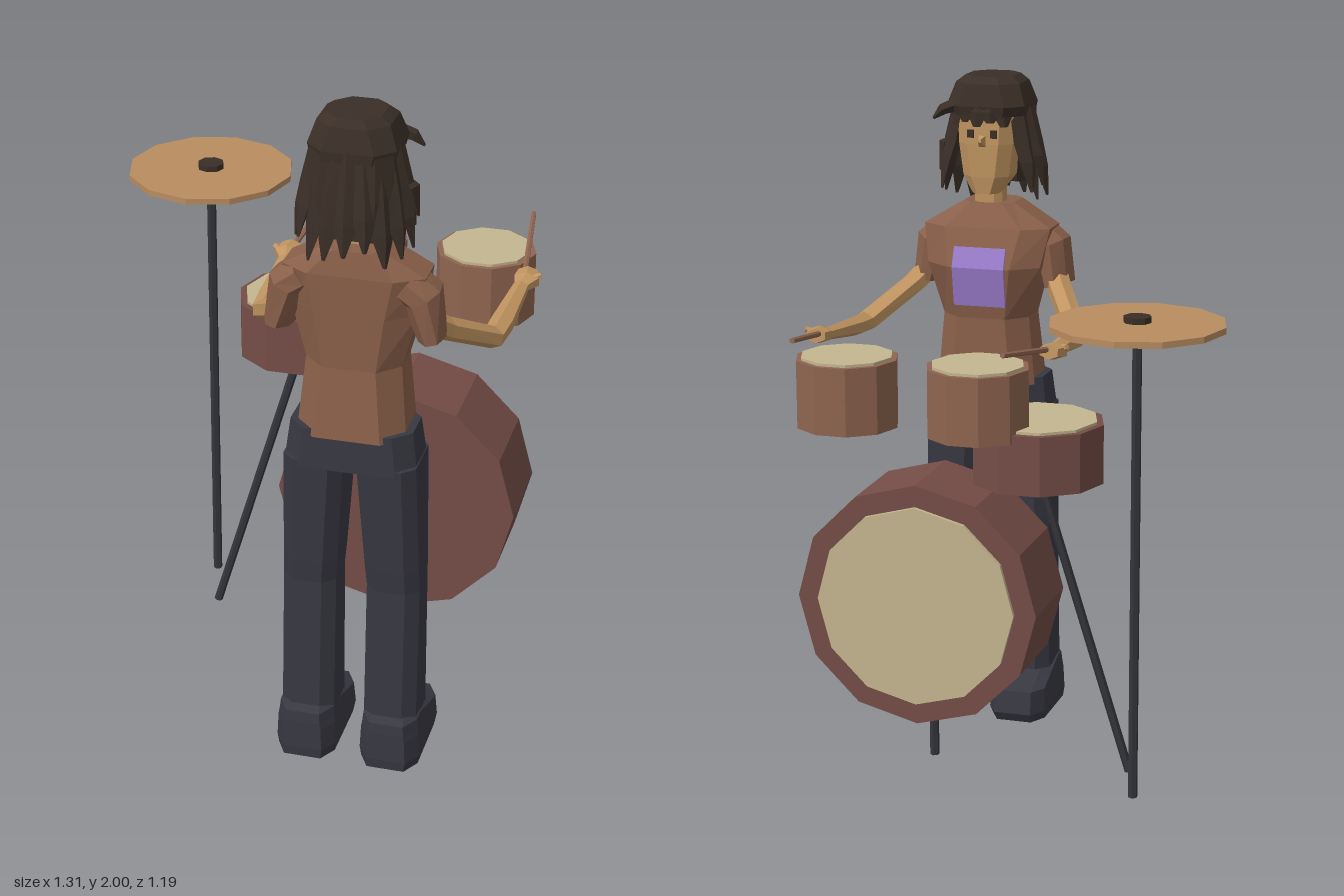
import * as THREE from 'three';

const mat = (name, color, extra = {}) => {
  const m = new THREE.MeshStandardMaterial({ color, flatShading: true, ...extra });
  m.name = name;
  return m;
};
const V = (x, y, z) => new THREE.Vector3(x, y, z);
const CX = 0.25; // the drummer and bass drum share this centre line

// Skin a stack of equal-sized rings and close both ends
function loft(rings) {
  const pos = [], n = rings[0].length;
  const tri = (...p) => p.forEach(v => pos.push(v.x, v.y, v.z));
  const mid = r => r.reduce((s, p) => s.add(p), V(0, 0, 0)).divideScalar(n);
  const last = rings[rings.length - 1], c0 = mid(rings[0]), c1 = mid(last);
  for (let i = 0; i < n; i++) {
    const j = (i + 1) % n;
    for (let k = 0; k + 1 < rings.length; k++) {
      const a = rings[k], b = rings[k + 1];
      tri(a[i], a[j], b[j]);
      tri(a[i], b[j], b[i]);
    }
    tri(c0, rings[0][j], rings[0][i]);
    tri(c1, last[i], last[j]);
  }
  const g = new THREE.BufferGeometry();
  g.setAttribute('position', new THREE.Float32BufferAttribute(pos, 3));
  g.computeVertexNormals();
  return g;
}

// Horizontal rectangle with cut corners
function oct(y, x0, x1, z0, z1, cx = 0.04, cz = cx) {
  return [[x1, z1 - cz], [x1, z0 + cz], [x1 - cx, z0], [x0 + cx, z0],
    [x0, z0 + cz], [x0, z1 - cz], [x0 + cx, z1], [x1 - cx, z1]].map(([x, z]) => V(x, y, z));
}
// Symmetric cut-corner ring about the drummer's centre line
const body = (y, hw, z0, z1, cx, cz) => oct(y, CX - hw, CX + hw, z0, z1, cx, cz);

// Jointed limb: points [x, y, z, horizontal radius, other radius]
function limb(points, sides = 6) {
  const p = points.map(q => V(q[0], q[1], q[2]));
  return loft(points.map((q, i) => {
    const t = p[Math.min(i + 1, p.length - 1)].clone().sub(p[Math.max(i - 1, 0)]).normalize();
    const u = t.clone().cross(Math.abs(t.y) > 0.98 ? V(0, 0, 1) : V(0, 1, 0)).normalize();
    const v = t.clone().cross(u), ru = q[3], rv = q[4] ?? q[3];
    return Array.from({ length: sides }, (_, k) => {
      const a = (k + 0.5) / sides * Math.PI * 2;
      return p[i].clone().addScaledVector(u, Math.cos(a) * ru).addScaledVector(v, Math.sin(a) * rv);
    });
  }));
}

export function createModel() {
  const root = new THREE.Group();
  root.name = 'drummerWithKit';
  const shirt = mat('shirt brown', 0x8a604a), skin = mat('skin', 0xc09460);
  const cloth = mat('charcoal', 0x383842), hair = mat('dark brown hair', 0x3b2f27);
  const purple = mat('purple', 0x9a7ccb), maroon = mat('maroon shell', 0x754d47);
  const wood = mat('tom brown', 0x8f6550), cream = mat('drumhead cream', 0xc4b68f);
  const brass = mat('cymbal bronze', 0xb98c60), metal = mat('dark metal', 0x34353b);

  const add = (name, geo, m, x = 0, y = 0, z = 0, parent = root) => {
    const mesh = new THREE.Mesh(geo, m);
    mesh.name = name;
    mesh.position.set(x, y, z);
    parent.add(mesh);
    return mesh;
  };
  const cyl = (r, h, n) => new THREE.CylinderGeometry(r, r, h, n);

  // Upright drums with a slightly raised head
  const drum = (name, x, z, r, y0, y1, m) => {
    const g = new THREE.Group();
    g.name = name;
    g.position.set(x, 0, z);
    g.rotation.y = Math.PI / 2;
    add(name + 'Shell', cyl(r, y1 - y0, 10), m, 0, (y0 + y1) / 2, 0, g);
    add(name + 'Head', cyl(r * 0.9, 0.008, 10), cream, 0, y1 + 0.004, 0, g);
    root.add(g);
  };
  drum('tomA', 0.055, -0.333, 0.15, 1.085, 1.283, wood);
  drum('tomB', 0.447, -0.333, 0.15, 1.085, 1.283, wood);
  drum('snare', -0.09, -0.226, 0.195, 0.937, 1.11, maroon);
  add('snareLeg', limb([[-0.35, 0.04, -0.155, 0.013], [-0.09, 0.94, -0.21, 0.013]]), metal);

  // Bass drum, head facing away from the player
  add('bassDrumShell', cyl(0.364, 0.285, 12), maroon, CX, 0.55, -0.183).rotation.x = Math.PI / 2;
  add('bassDrumHead', cyl(0.3, 0.014, 12), cream, CX, 0.55, -0.332).rotation.x = Math.PI / 2;
  add('bassDrumFoot', cyl(0.014, 0.18, 6), metal, CX, 0.12, -0.168);

  // Cymbal and stand
  add('cymbalStand', cyl(0.014, 1.39, 6), metal, -0.41, 0.735, -0.342);
  add('cymbal', cyl(0.25, 0.018, 12), brass, -0.41, 1.434, -0.342);
  add('cymbalKnob', cyl(0.04, 0.018, 8), hair, -0.41, 1.451, -0.342);

  // Hips and shirt
  add('hips', loft([
    body(0.96, 0.19, 0.322, 0.542, 0.05), body(1.08, 0.175, 0.335, 0.535, 0.05),
  ]), cloth);
  add('shirtBody', loft([
    body(1.06, 0.155, 0.30, 0.545, 0.06), body(1.27, 0.136, 0.305, 0.525, 0.06),
    body(1.43, 0.178, 0.278, 0.525, 0.08, 0.06), body(1.545, 0.2, 0.325, 0.525, 0.08, 0.05),
    body(1.617, 0.08, 0.365, 0.515, 0.03),
  ]), shirt);
  add('chestPatch', loft([[1.31, 0.298], [1.43, 0.278], [1.49, 0.3025]].map(
    ([y, z]) => body(y, 0.082, z - 0.005, z + 0.003, 0.001))), purple);

  // Legs, shoes, sleeves, arms and sticks, mirrored
  for (const s of [1, -1]) {
    const side = s > 0 ? 'left' : 'right', X = d => CX + s * d, c = X(0.125);
    const leg = (y, a, b, z0, z1) => oct(y, Math.min(X(a), X(b)), Math.max(X(a), X(b)), z0, z1, 0.035);
    add(side + 'Leg', loft([
      leg(0.14, 0.045, 0.2, 0.335, 0.525), leg(0.57, 0.045, 0.2, 0.342, 0.507),
      leg(0.64, 0.04, 0.198, 0.335, 0.515), leg(0.98, 0.018, 0.19, 0.322, 0.541),
    ]), cloth);
    const shoe = (y, hw, z0, z1, k = 0.03) => oct(y, c - hw, c + hw, z0, z1, k, k * 1.8);
    add(side + 'Shoe', loft([
      shoe(0, 0.085, 0.235, 0.552), shoe(0.03, 0.089, 0.217, 0.555), shoe(0.1, 0.086, 0.23, 0.553),
      shoe(0.118, 0.083, 0.3, 0.552), shoe(0.15, 0.08, 0.4, 0.548), shoe(0.165, 0.06, 0.44, 0.52, 0.015),
    ]), cloth);
    add(side + 'Sleeve', limb([
      [X(0.14), 1.52, 0.445, 0.078, 0.055], [X(0.185), 1.485, 0.443, 0.08, 0.06],
      [X(0.213), 1.365, 0.438, 0.078, 0.042],
    ], 8), shirt);
    add(side + 'Arm', limb([
      [X(0.2), 1.4, 0.43, 0.04, 0.034], [X(0.235), 1.355, 0.37, 0.038, 0.034],
      [X(0.333), 1.262, 0.205, 0.037, 0.032], [X(0.34), 1.265, 0.12, 0.036, 0.03],
      [X(0.352), 1.288, -0.1, 0.024, 0.019],
    ]), skin);
    add(side + 'Hand', limb([
      [X(0.352), 1.288, -0.09, 0.024, 0.018], [X(0.36), 1.292, -0.125, 0.042, 0.026],
      [X(0.355), 1.297, -0.168, 0.032, 0.022],
    ]), skin);
    add(side + 'Thumb', limb([
      [X(0.37), 1.295, -0.12, 0.014], [X(0.4), 1.308, -0.135, 0.009],
    ], 5), skin);
    add(side + 'Stick', limb([
      [X(0.355), 1.292, -0.1, 0.009], [X(0.31), 1.353, -0.468, 0.008],
    ]), wood);
    add(side + 'Eye', new THREE.BoxGeometry(0.02, 0.024, 0.008), hair, X(0.036), 1.832, 0.329);
  }

  // Head, neck and nose
  add('neck', loft([body(1.59, 0.045, 0.37, 0.46, 0.02), body(1.7, 0.042, 0.37, 0.46, 0.02)]), skin);
  add('head', loft([
    body(1.648, 0.04, 0.338, 0.42, 0.02), body(1.7, 0.072, 0.332, 0.5, 0.035),
    body(1.8, 0.085, 0.33, 0.53, 0.035), body(1.91, 0.09, 0.335, 0.54, 0.035),
  ]), skin);
  add('nose', limb([[CX, 1.81, 0.335, 0.016, 0.026], [CX, 1.815, 0.302, 0.006, 0.007]], 4), skin);

  // Hair: crown, solid back and a fan of tapering strands
  add('hairCrown', loft([
    body(1.885, 0.115, 0.322, 0.555, 0.05), body(1.915, 0.122, 0.316, 0.556, 0.05),
    body(1.98, 0.1, 0.335, 0.54, 0.05), body(2, 0.075, 0.362, 0.525, 0.04),
  ]), hair);
  add('hairBack', loft([
    body(1.67, 0.11, 0.46, 0.56, 0.04), body(1.78, 0.118, 0.43, 0.56, 0.04),
    body(1.91, 0.115, 0.4, 0.55, 0.04),
  ]), hair);
  // Each strand row: height, x and z distance from the head's axis, half width, half depth
  const strand = (name, deg, rows) => {
    const a = deg * Math.PI / 180, s = Math.sin(a), c = Math.cos(a);
    add(name, loft(rows.map(([y, rx, rz, w, d]) =>
      [[w, 0], [0, -d], [-w, 0], [0, d]].map(([t, r]) =>
        V(CX + s * (rx + r) + c * t, y, 0.445 + c * (rz + r) - s * t)))), hair);
  };
  for (let i = 0; i < 13; i++) {
    const deg = -120 + i * 20, front = Math.abs(deg) > 85;
    const tip = (front ? 1.655 : 1.6) + (i * 5 % 4) * 0.016;
    strand('hairStrand', deg, [
      [tip, 0.165, 0.145, 0.006, 0.004], [tip + 0.09, 0.148, 0.125, 0.034, 0.02],
      [1.8, 0.13, 0.112, 0.04, 0.022], [1.92, 0.105, 0.095, 0.036, 0.018],
    ]);
  }
  // Fringe over the forehead, swept to one side
  [-150, -168, 174, 156, 138].forEach((deg, i) => strand('fringe', deg, [
    [1.855 + (i % 2) * 0.012, 0.135, 0.128, 0.012, 0.006], [1.9, 0.122, 0.122, 0.036, 0.014],
    [1.96, 0.1, 0.1, 0.028, 0.012],
  ]));
  add('looseLock', limb([
    [CX + 0.08, 1.92, 0.36, 0.022], [CX + 0.13, 1.9, 0.345, 0.018], [CX + 0.158, 1.872, 0.34, 0.004],
  ], 5), hair);

  return root;
}
